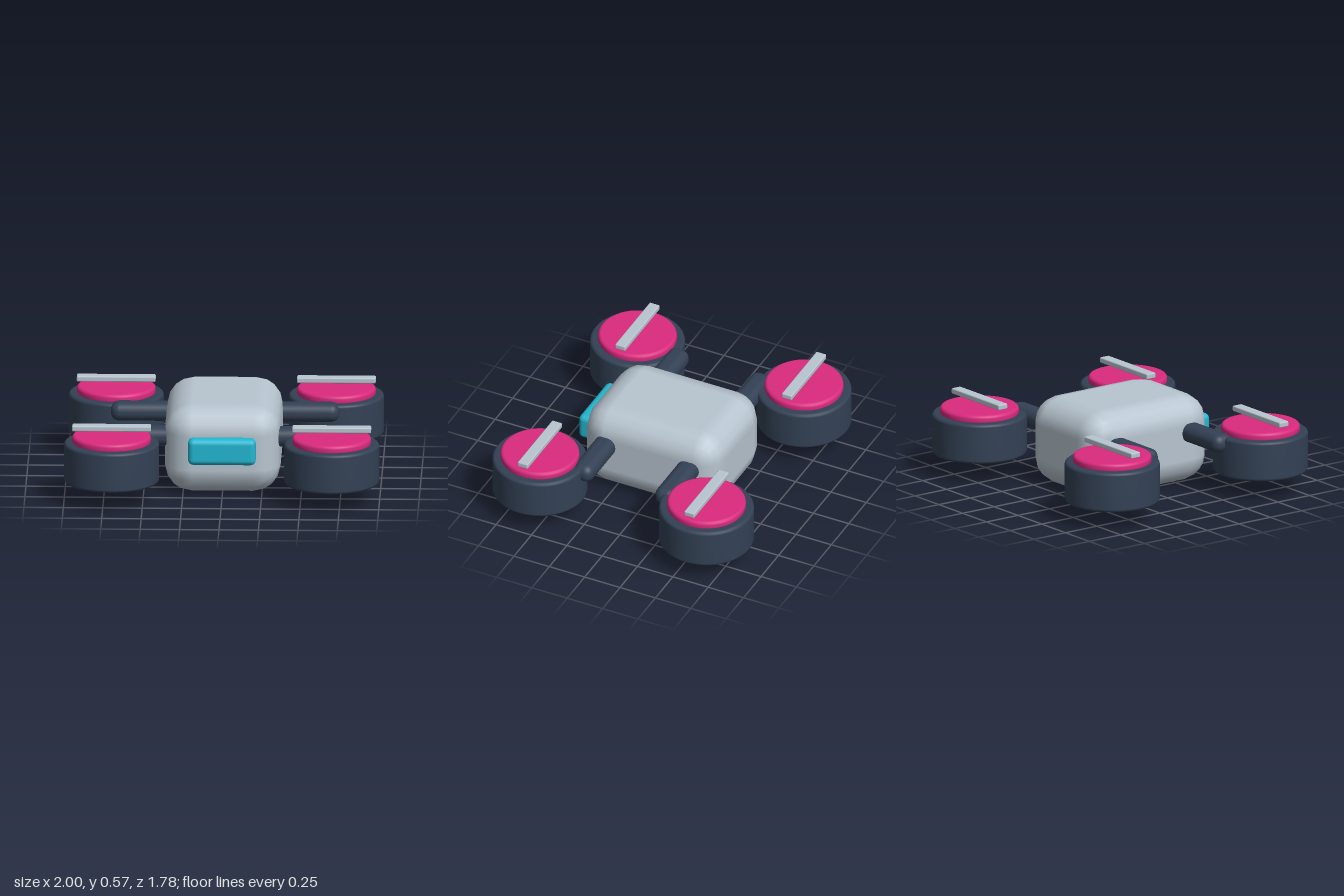
import * as THREE from 'three';
import { RoundedBoxGeometry } from 'three/addons/geometries/RoundedBoxGeometry.js';

const material = (name, color) => {
  const m = new THREE.MeshStandardMaterial({ color });
  m.name = name;
  return m;
};

// Round drum with a softened rim, standing on y = 0
function drum(radius, height, bevel, sides) {
  const points = [new THREE.Vector2(0, 0)];
  for (const [cy, from] of [[bevel, -Math.PI / 2], [height - bevel, 0]]) {
    for (let i = 0; i <= 3; i++) {
      const a = from + (i / 3) * Math.PI / 2;
      points.push(new THREE.Vector2(radius - bevel + bevel * Math.cos(a), cy + bevel * Math.sin(a)));
    }
  }
  points.push(new THREE.Vector2(0, height));
  return new THREE.LatheGeometry(points, sides);
}

export function createModel() {
  const model = new THREE.Group();
  model.name = 'drone';
  const shell = material('pale grey', 0xb8c5d0);
  const dark = material('dark slate', 0x334155);
  const pink = material('pink', 0xdb2a7f);
  const cyan = material('cyan', 0x22b8d2);

  const add = (parent, name, geometry, mat, x, y, z) => {
    const mesh = new THREE.Mesh(geometry, mat);
    mesh.name = name;
    mesh.position.set(x, y, z);
    parent.add(mesh);
  };

  // Body and front visor
  add(model, 'body', new RoundedBoxGeometry(0.735, 0.57, 0.97, 2, 0.175), shell, 0, 0.285, 0);
  add(model, 'visor', new RoundedBoxGeometry(0.43, 0.17, 0.1, 3, 0.035), cyan, 0, 0.311, 0.512);

  // Cross arms, passing through the body
  const armGeometry = new RoundedBoxGeometry(1.45, 0.12, 0.145, 3, 0.055);
  for (const side of [1, -1]) {
    add(model, side > 0 ? 'frontArm' : 'backArm', armGeometry, dark, 0, 0.352, side * 0.292);
  }

  // Four rotor pods
  const podGeometry = drum(0.302, 0.26, 0.02, 48);
  const discGeometry = drum(0.25, 0.06, 0.02, 48);
  const bladeGeometry = new RoundedBoxGeometry(0.5, 0.036, 0.072, 2, 0.008);
  for (const x of [-1, 1]) {
    for (const z of [-1, 1]) {
      const rotor = new THREE.Group();
      rotor.name = (z > 0 ? 'front' : 'back') + (x > 0 ? 'Left' : 'Right') + 'Rotor';
      rotor.position.set(x * 0.698, 0, z * 0.589);
      add(rotor, 'pod', podGeometry, dark, 0, 0.133, 0);
      add(rotor, 'disc', discGeometry, pink, 0, 0.378, 0);
      add(rotor, 'blade', bladeGeometry, shell, 0, 0.483, 0);
      model.add(rotor);
    }
  }
  return model;
}
